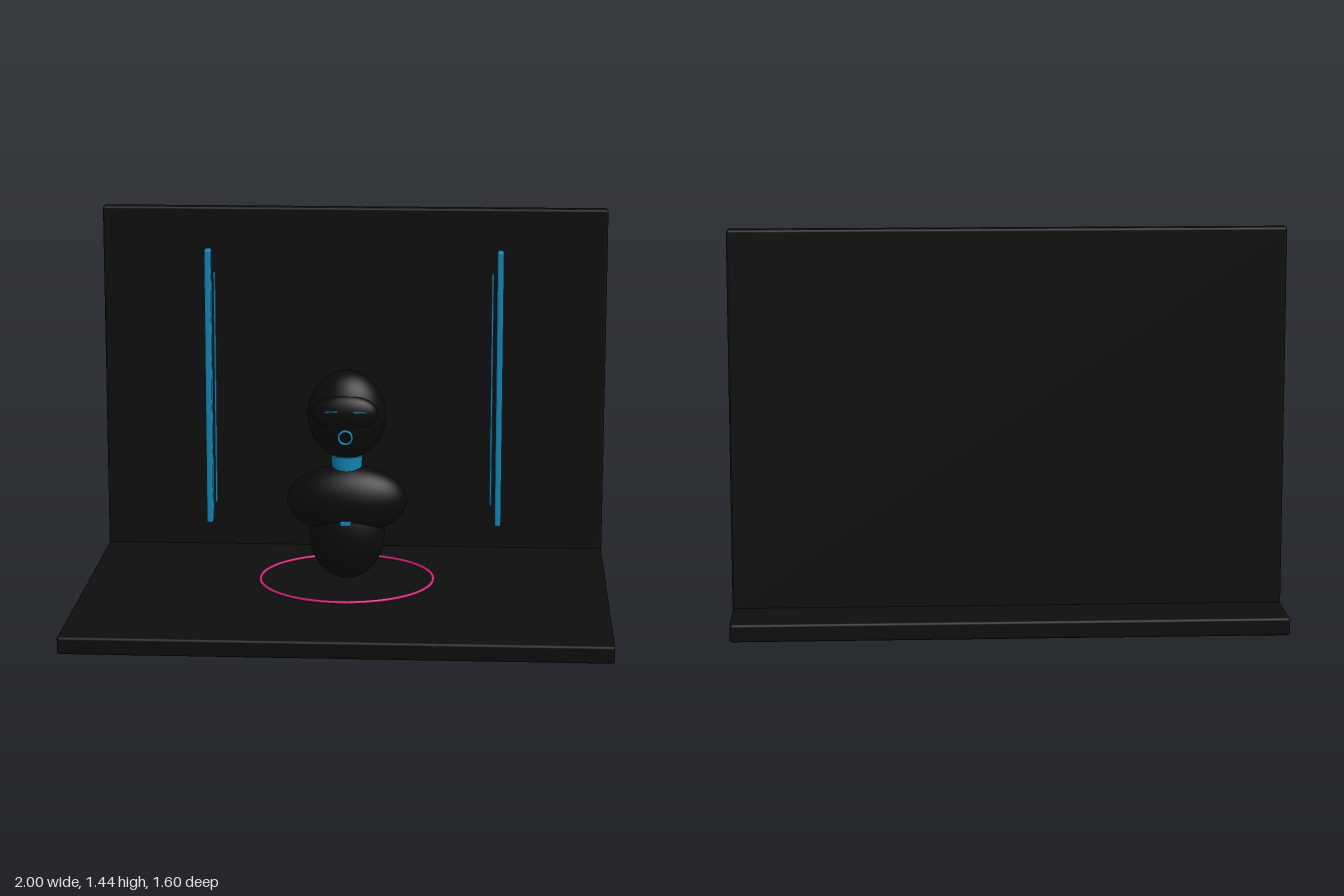
import * as THREE from 'three';
import { RoundedBoxGeometry } from 'three/addons/geometries/RoundedBoxGeometry.js';

const material = (name, color) => {
  const m = new THREE.MeshStandardMaterial({ color });
  m.name = name;
  return m;
};

export function createModel() {
  const group = new THREE.Group();
  const stageBlack = material('stage black', 0x0d0d0d);
  const bodyBlack = material('body black', 0x0a0a0b);
  const blue = material('glow blue', 0x1183b0);
  const pink = material('glow pink', 0xcf267c);

  const add = (name, geometry, mat, x, y, z, parent = group) => {
    const mesh = new THREE.Mesh(geometry, mat);
    mesh.name = name;
    mesh.position.set(x, y, z);
    parent.add(mesh);
    return mesh;
  };
  const box = (w, h, d, r) => new RoundedBoxGeometry(w, h, d, 2, r);
  const ellipsoid = (rx, ry, rz) => new THREE.SphereGeometry(1, 48, 32).scale(rx, ry, rz);

  // Stage
  add('floor', box(2, 0.065, 1.6, 0.01), stageBlack, 0, 0.0325, 0);
  add('backWall', box(2, 1.385, 0.056, 0.01), stageBlack, 0, 0.7505, -0.538);

  // Light strips on the wall
  for (const side of [-1, 1]) {
    add('wallLight', box(0.026, 1.115, 0.056, 0.008), blue, side * 0.58, 0.7225, -0.479);
    add('thinWallLight', box(0.01, 0.94, 0.01, 0.003), blue, side * 0.55, 0.725, -0.438);
  }

  // Glowing ring on the floor
  add('floorRing', new THREE.TorusGeometry(0.333, 0.006, 10, 96).rotateX(Math.PI / 2), pink, 0, 0.074, 0);

  // Figure
  const figure = new THREE.Group();
  figure.name = 'figure';
  group.add(figure);
  add('lowerBody', ellipsoid(0.145, 0.178, 0.095), bodyBlack, 0, 0.255, 0, figure);
  add('torso', ellipsoid(0.23, 0.136, 0.104), bodyBlack, 0, 0.388, 0, figure);
  add('neck', new THREE.CylinderGeometry(0.06, 0.056, 0.07, 32).scale(1, 1, 0.87), blue, 0, 0.527, 0, figure);
  add('head', ellipsoid(0.15, 0.171, 0.115), bodyBlack, 0, 0.722, 0, figure);
  add('visor', ellipsoid(0.122, 0.07, 0.042), bodyBlack, 0, 0.745, 0.084, figure);

  // Face and chest details
  for (const side of [-1, 1]) {
    const eye = add('eye', box(0.05, 0.008, 0.009, 0.003), blue, side * 0.053, 0.755, 0.12, figure);
    eye.rotation.set(0, side * 0.15, -side * 0.06);
  }
  add('mouthRing', new THREE.TorusGeometry(0.025, 0.005, 10, 40), blue, 0, 0.655, 0.113, figure);
  add('chestLight', box(0.042, 0.018, 0.02, 0.004), blue, 0, 0.314, 0.087, figure);

  return group;
}
